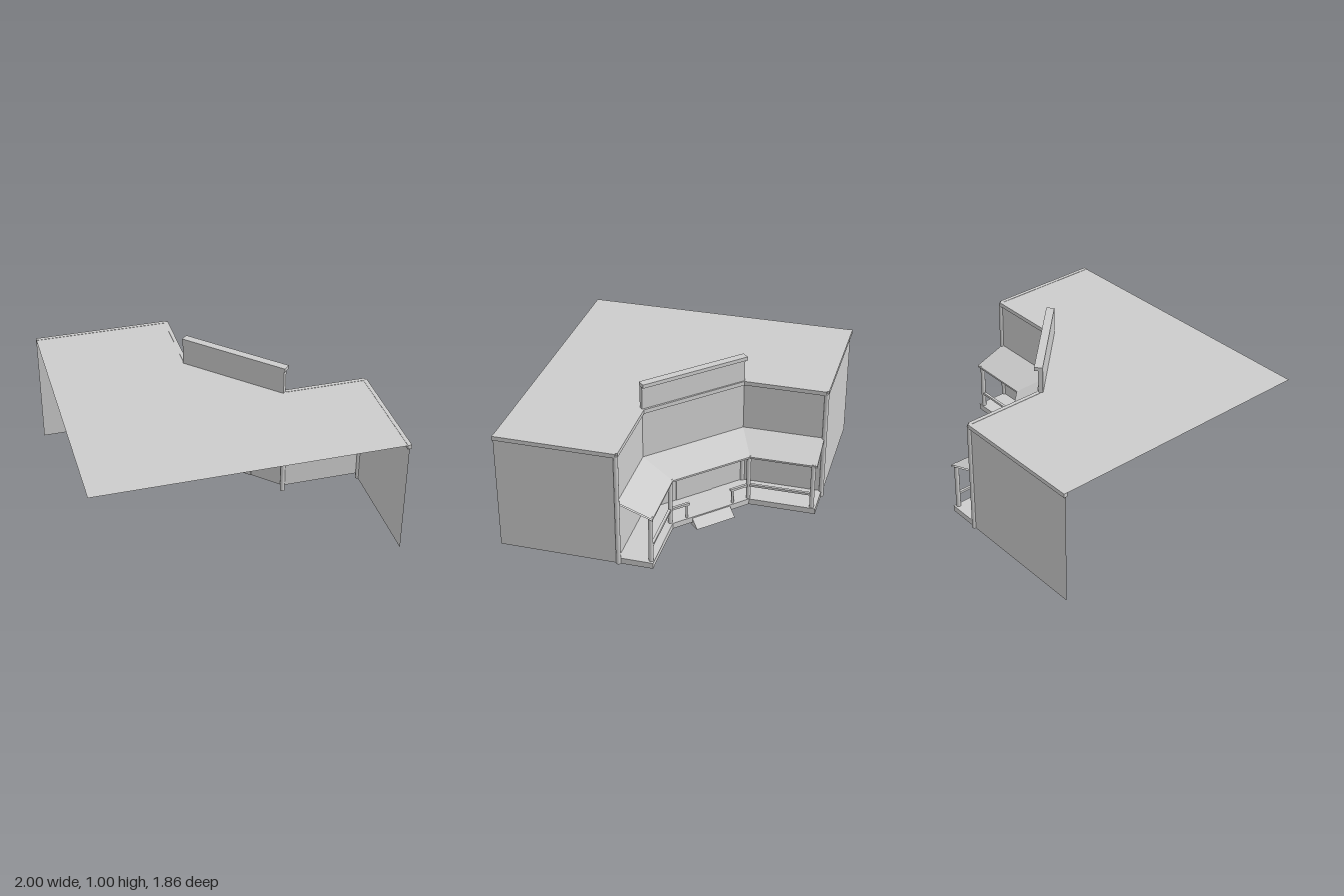
import * as THREE from 'three';

const mat = new THREE.MeshStandardMaterial({ color: 0xcccccc, side: THREE.DoubleSide });

function add(parent, name, geo, x = 0, y = 0, z = 0) {
  const m = new THREE.Mesh(geo, mat);
  m.name = name;
  m.position.set(x, y, z);
  parent.add(m);
  return m;
}

// Faceted surface joining rows of [x, y, z] points
function loft(rows) {
  const pos = [];
  for (let i = 0; i < rows.length - 1; i++) {
    for (let j = 0; j < rows[i].length - 1; j++) {
      const a = rows[i][j], b = rows[i][j + 1], c = rows[i + 1][j + 1], d = rows[i + 1][j];
      pos.push(...a, ...b, ...c, ...a, ...c, ...d);
    }
  }
  const g = new THREE.BufferGeometry();
  g.setAttribute('position', new THREE.Float32BufferAttribute(pos, 3));
  g.computeVertexNormals();
  return g;
}

const at = (path, y) => path.map(([x, z]) => [x, y, z]);

function post(parent, name, x, z, y0, y1, r = 0.015) {
  add(parent, name, new THREE.CylinderGeometry(r, r, y1 - y0, 12), x, (y0 + y1) / 2, z);
}

// Square bar between two plan points
function bar(parent, name, [x0, z0], [x1, z1], y, w, h) {
  const len = Math.hypot(x1 - x0, z1 - z0);
  const m = add(parent, name, new THREE.BoxGeometry(len, h, w), (x0 + x1) / 2, y, (z0 + z1) / 2);
  m.rotation.y = -Math.atan2(z1 - z0, x1 - x0);
}

export function createModel() {
  const model = new THREE.Group();
  model.name = 'cornerBuilding';

  // Plan lines: street walls and the outer edge of the porch
  const wall = [[-1, -0.917], [-0.088, -0.917], [-0.088, -0.375], [0.445, 0.152], [0.985, 0.152], [0.985, 0.93]];
  const inner = wall.slice(1, 5);
  const outer = [[0.135, -0.917], [0.135, -0.475], [0.54, -0.07], [0.985, -0.07]];

  // Walls: outer wings reach the ground, the three porch walls start at the deck
  for (let i = 0; i < 5; i++) {
    const seg = [wall[i], wall[i + 1]];
    const bottom = i === 0 || i === 4 ? 0.02 : 0.06;
    add(model, 'wall', loft([at(seg, bottom), at(seg, 0.81)]));
    bar(model, 'eaveTrim', ...seg, 0.803, 0.026, 0.028);
  }

  // Flat roof
  const roof = new THREE.ShapeGeometry(new THREE.Shape(
    [[-1, -0.93], ...wall.slice(1, 5), [0.985, 0.93], [-1, 0.93]].map(([x, z]) => new THREE.Vector2(x, -z))));
  roof.rotateX(-Math.PI / 2);
  add(model, 'roof', roof, 0, 0.815, 0);

  // Corner posts: full height at the ends, half height under the porch roof
  inner.forEach(([x, z], i) => post(model, 'cornerPost', x, z, 0.02, i === 0 || i === 3 ? 0.8 : 0.46, 0.0155));

  // Porch: open-bottomed deck with a skirt, and a thin sloping roof
  const porch = new THREE.Group();
  porch.name = 'porch';
  model.add(porch);
  add(porch, 'deckAndSkirt', loft([at(inner, 0.06), at(outer, 0.06), at(outer, 0.02)]));
  add(porch, 'deckEnds', loft([
    [[-0.088, 0.06, -0.917], [0.135, 0.06, -0.917]], [[-0.088, 0.02, -0.917], [0.135, 0.02, -0.917]]]));
  add(porch, 'deckEnds', loft([
    [[0.985, 0.06, 0.152], [0.985, 0.06, -0.07]], [[0.985, 0.02, 0.152], [0.985, 0.02, -0.07]]]));
  add(porch, 'porchRoof', loft([at(inner, 0.468), at(outer, 0.385), at(outer, 0.373), at(inner, 0.456)]));

  // Porch posts and side rails
  const posts = [[0.117, -0.89], [0.117, -0.465], [0.53, -0.05], [0.957, -0.05]];
  posts.forEach(([x, z]) => post(porch, 'porchPost', x, z, 0.02, 0.39));
  bar(porch, 'sideRail', posts[0], posts[1], 0.16, 0.018, 0.016);
  bar(porch, 'sideRail', posts[2], posts[3], 0.16, 0.018, 0.016);

  // Diagonal entrance: local +z points out of the cut corner
  const entry = new THREE.Group();
  entry.name = 'entrance';
  entry.position.set(0.178, 0, -0.112);
  entry.rotation.y = Math.PI * 0.75;
  model.add(entry);
  add(entry, 'door', new THREE.BoxGeometry(0.27, 0.22, 0.008), 0, 0.17, 0);
  for (const s of [-1, 1]) {
    bar(entry, 'entryRail', [s * 0.293, 0.207], [s * 0.155, 0.207], 0.16, 0.018, 0.016);
    post(entry, 'railPost', s * 0.172, 0.207, 0.06, 0.155, 0.009);
  }

  // Sloped entrance step
  const profile = new THREE.Shape([[0.188, 0], [0.29, 0], [0.222, 0.055], [0.188, 0.055]].map(p => new THREE.Vector2(...p)));
  const step = new THREE.ExtrudeGeometry(profile, { depth: 0.284, bevelEnabled: false });
  step.translate(0, 0, -0.142).rotateY(-Math.PI / 2);
  add(entry, 'step', step);

  // Raised sign board with an overhanging cap
  add(entry, 'signBoard', new THREE.BoxGeometry(0.75, 0.18, 0.03), 0, 0.89, -0.014);
  add(entry, 'signCap', new THREE.BoxGeometry(0.758, 0.025, 0.054), 0, 0.987, -0.002);

  return model;
}
